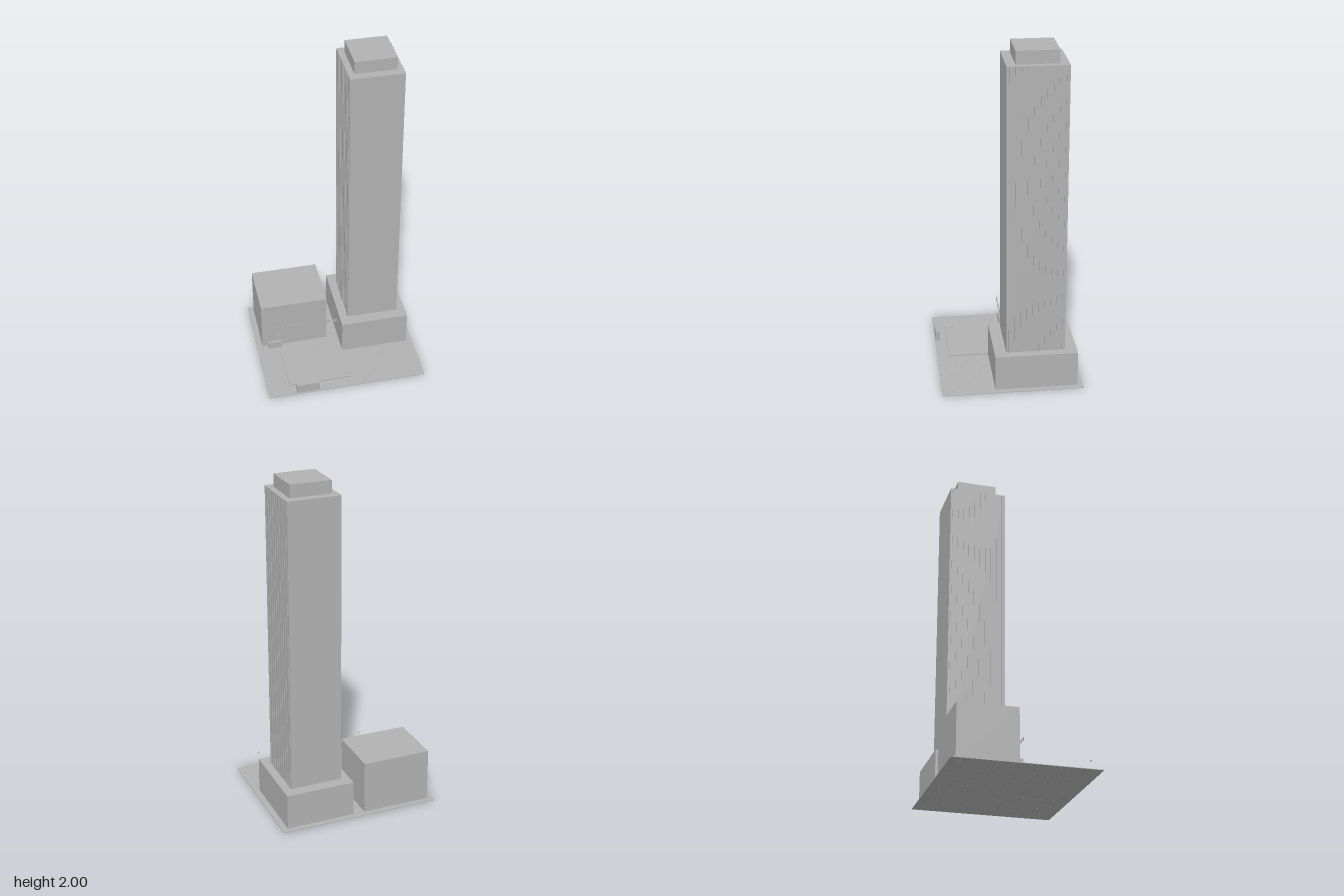
import * as THREE from 'three';
import { mergeGeometries } from 'three/addons/utils/BufferGeometryUtils.js';

const stone = new THREE.MeshStandardMaterial({ color: 0xb2b2b2 });
stone.name = 'pale grey stone';

// Box geometry given by its extents on each axis
function block(x0, x1, y0, y1, z0, z1) {
  return new THREE.BoxGeometry(x1 - x0, y1 - y0, z1 - z0)
    .translate((x0 + x1) / 2, (y0 + y1) / 2, (z0 + z1) / 2);
}

export function createModel() {
  const model = new THREE.Group();
  model.name = 'towerPlaza';

  function add(name, ...geometries) {
    const mesh = new THREE.Mesh(mergeGeometries(geometries), stone);
    mesh.name = name;
    model.add(mesh);
  }

  // Square paving stones, 28 by 24, with hairline joints
  const pitch = 0.0343, half = 0.0171, top = 0.0035;
  const paving = [];
  for (let i = 0; i < 28; i++) {
    for (let j = 0; j < 24; j++) {
      const x = (i - 13.5) * pitch, z = (j - 11.5) * pitch;
      paving.push(block(x - half, x + half, 0, top, z - half, z + half));
    }
  }
  add('paving', ...paving);

  // Main masses
  add('annexBuilding', block(-0.445, -0.035, top, 0.32, -0.378, -0.036));
  add('towerPodium', block(0.034, 0.445, top, 0.215, -0.378, 0.102));
  add('towerShaft', block(0.085, 0.394, 0.215, 1.925, -0.309, 0.033));
  add('towerCrown', block(0.12, 0.36, 1.925, 2, -0.258, -0.018));

  // Vertical fins on both flanks of the tower
  const fins = [];
  for (let i = 0; i < 10; i++) {
    const z = -0.293 + i * pitch;
    fins.push(block(0.081, 0.0855, 0.215, 1.925, z - 0.0035, z + 0.0035));
    fins.push(block(0.3935, 0.398, 0.215, 1.925, z - 0.0035, z + 0.0035));
  }
  add('towerFins', ...fins);

  // Low terrace and the two freestanding slabs
  add('terrace', block(-0.343, 0.034, top, 0.012, 0.067, 0.34));
  add('annexSlab', block(-0.41, -0.327, top, 0.049, -0.022, -0.007));
  add('streetSlab', block(-0.309, -0.172, top, 0.064, 0.379, 0.406));

  // Row of small panels ahead of the annex
  const panels = [];
  for (let i = 0; i < 10; i++) {
    const x = -0.368 + i * 0.042;
    panels.push(block(x - 0.01, x + 0.01, 0.166, 0.184, 0.0045, 0.0075));
  }
  add('panelRow', ...panels);

  // Lamp heads along the street and the annex
  const lamps = [];
  for (let i = -2; i <= 2; i++) {
    const x = i * 0.1715;
    for (const z of i <= 0 ? [0.391, -0.019] : [0.391]) {
      lamps.push(block(x - 0.006, x + 0.006, 0.0945, 0.0995, z - 0.003, z + 0.003));
    }
  }
  add('lampHeads', ...lamps);

  return model;
}
